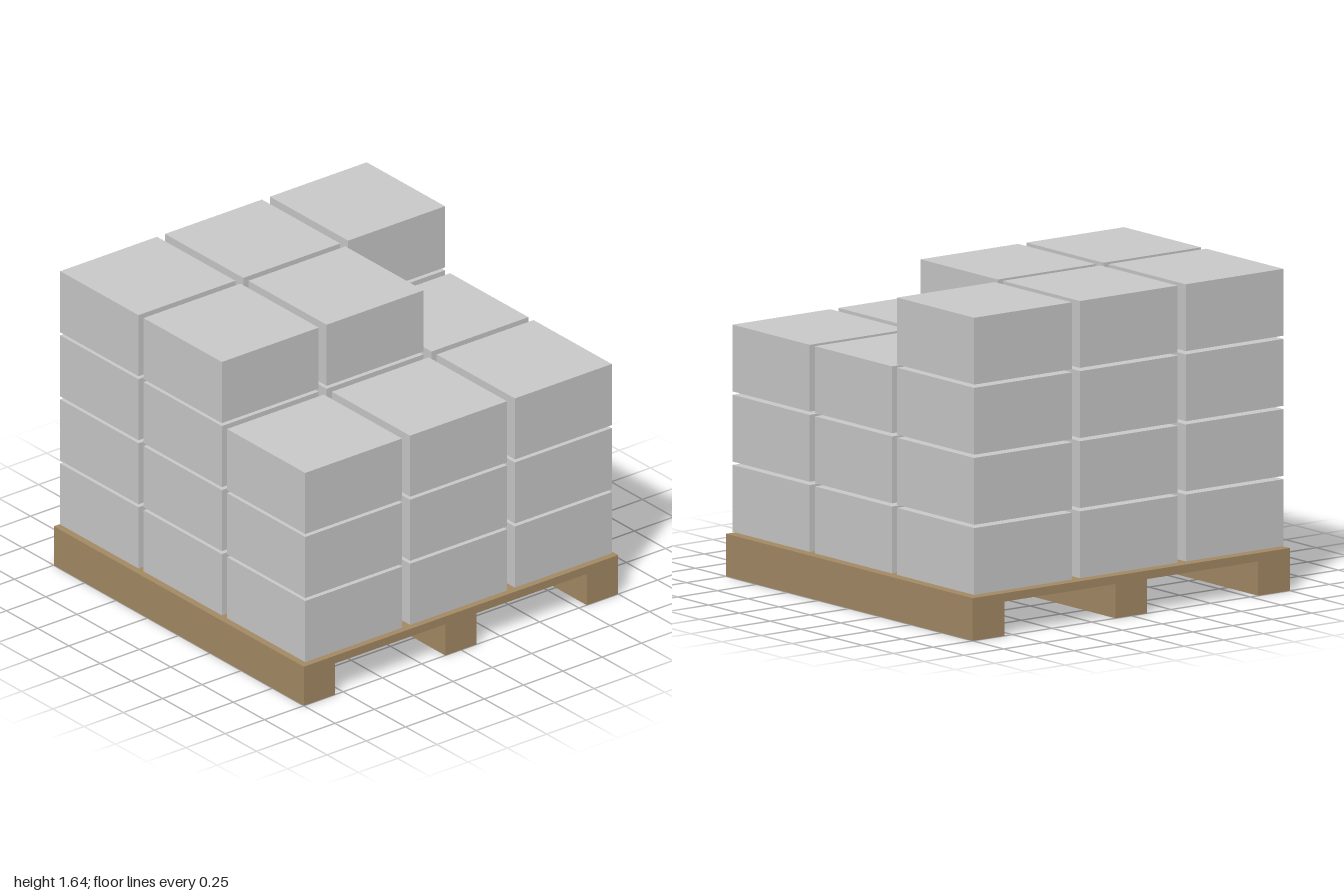
import * as THREE from 'three';

export function createModel() {
  const model = new THREE.Group();
  const wood = new THREE.MeshStandardMaterial({ color: 0xa58b66, flatShading: true });
  const grey = new THREE.MeshStandardMaterial({ color: 0xcccccc, flatShading: true });

  // Box placed by the centre of its base
  function addBox(parent, name, material, [w, h, d], [x, y, z]) {
    const mesh = new THREE.Mesh(new THREE.BoxGeometry(w, h, d), material);
    mesh.name = name;
    mesh.position.set(x, y + h / 2, z);
    parent.add(mesh);
  }

  // Pallet: a thin deck on three full-width runners
  const pallet = new THREE.Group();
  pallet.name = 'pallet';
  const deckBottom = 0.174, deckTop = 0.217;
  addBox(pallet, 'deck', wood, [2, deckTop - deckBottom, 2], [0, deckBottom, 0]);
  for (const z of [-0.9, 0, 0.9]) {
    addBox(pallet, 'runner', wood, [2, deckBottom, 0.2], [0, 0, z]);
  }
  model.add(pallet);

  // Cartons: a 3 x 3 grid of stacks, rows from back to front, columns from -x to +x
  const stackHeights = [
    [4, 3, 3],
    [4, 4, 3],
    [4, 4, 3],
  ];
  const spacing = 0.667, layerStep = 0.3565, firstLayer = 0.227;
  stackHeights.forEach((row, r) => row.forEach((count, c) => {
    const stack = new THREE.Group();
    stack.name = 'cartonStack';
    stack.position.set((c - 1) * spacing, 0, (r - 1) * spacing);
    for (let i = 0; i < count; i++) {
      addBox(stack, 'carton', grey, [0.626, 0.34, 0.616], [0, firstLayer + i * layerStep, 0]);
    }
    model.add(stack);
  }));

  return model;
}
